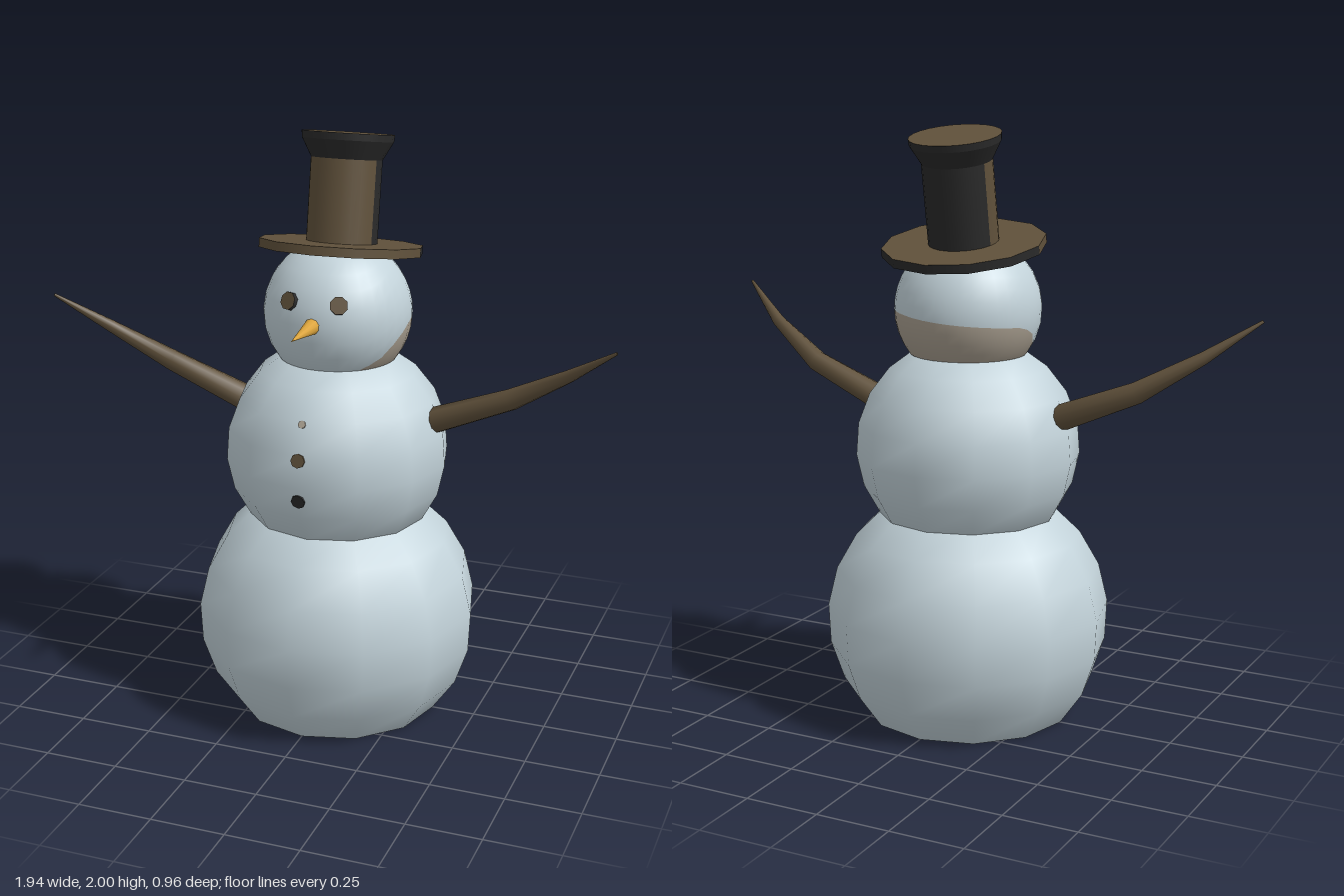
import * as THREE from 'three';

const flat = (name, color) => {
  const m = new THREE.MeshStandardMaterial({ color });
  m.name = name;
  return m;
};

export function createModel() {
  const snow = flat('snow', 0xc3d3da);
  const brown = flat('brown', 0x60513b);
  const black = flat('black', 0x2a2a2a);
  const tan = flat('dirty snow', 0xa99f90);
  const sand = flat('sand', 0xa89c7c);
  const carrot = flat('carrot', 0xdca43c);
  const model = new THREE.Group();
  const rad = THREE.MathUtils.degToRad;

  const add = (name, geometry, material, parent = model) => {
    const mesh = new THREE.Mesh(geometry, material);
    mesh.name = name;
    parent.add(mesh);
    return mesh;
  };

  // Band of a sphere between two heights, which may vary around the ball
  function band(cy, r, low, high, sides = 12, rows = 6) {
    const pos = [], nor = [], idx = [];
    for (let j = 0; j <= rows; j++) {
      for (let i = 0; i <= sides; i++) {
        const a = (i / sides) * Math.PI * 2;
        const t0 = Math.asin((low(a) - cy) / r), t1 = Math.asin((high(a) - cy) / r);
        const t = t0 + (t1 - t0) * (j / rows);
        const n = [Math.cos(t) * Math.sin(a), Math.sin(t), Math.cos(t) * Math.cos(a)];
        nor.push(...n);
        pos.push(n[0] * r, cy + n[1] * r, n[2] * r);
        if (i < sides && j < rows) {
          const p = j * (sides + 1) + i, q = p + sides + 1;
          idx.push(p, p + 1, q + 1, p, q + 1, q);
        }
      }
    }
    const g = new THREE.BufferGeometry();
    g.setAttribute('position', new THREE.Float32BufferAttribute(pos, 3));
    g.setAttribute('normal', new THREE.Float32BufferAttribute(nor, 3));
    g.setIndex(idx);
    return g;
  }

  // Body: each ball runs a little way into the one above
  add('lowerBody', band(0.33, 0.482, () => 0, () => 0.72), snow);
  add('upperBody', band(0.93, 0.378, () => 0.7, () => 1.265), snow);
  const base = add('baseUnderside', new THREE.CircleGeometry(0.351, 12), sand);
  base.rotation.x = Math.PI / 2;

  // Head, with a soiled area low on the back
  const edge = [[0, 1.25], [42, 1.25], [60, 1.29], [75, 1.35], [92, 1.39], [115, 1.4], [150, 1.395],
    [180, 1.385], [225, 1.37], [255, 1.36], [275, 1.32], [288, 1.25], [360, 1.25]];
  const dirtTop = (a) => {
    const d = Math.min(THREE.MathUtils.radToDeg(a), 359.99);
    const k = edge.findIndex(([e]) => e > d);
    const [a0, y0] = edge[k - 1], [a1, y1] = edge[k];
    return y0 + ((y1 - y0) * (d - a0)) / (a1 - a0);
  };
  add('head', band(1.4, 0.246, dirtTop, () => 1.63, 36, 8), snow);
  add('headSoiledArea', band(1.4, 0.246, () => 1.25, dirtTop, 36, 4), tan);

  // Small discs set on the surface of a ball, facing outwards
  function stud(name, x, y, cy, r, size, depth, material, sides = 8) {
    const dir = new THREE.Vector3(x, y - cy, Math.sqrt(r * r - x * x - (y - cy) ** 2)).normalize();
    const mesh = add(name, new THREE.CylinderGeometry(size, size, depth, sides), material);
    mesh.position.copy(dir).multiplyScalar(r).add(new THREE.Vector3(0, cy, 0));
    mesh.quaternion.setFromUnitVectors(new THREE.Vector3(0, 1, 0), dir);
  }
  const eyeMaterials = [black, brown, brown];
  stud('leftEye', 0.083, 1.48, 1.4, 0.245, 0.03, 0.024, eyeMaterials);
  stud('rightEye', -0.083, 1.48, 1.4, 0.245, 0.03, 0.024, eyeMaterials);
  stud('lowerButton', 0, 0.86, 0.93, 0.376, 0.024, 0.006, black);
  stud('middleButton', 0, 1.0, 0.93, 0.376, 0.024, 0.006, brown);
  stud('upperButton', 0, 1.11, 0.93, 0.376, 0.013, 0.006, tan);

  // Nose
  const nose = add('nose', new THREE.ConeGeometry(0.03, 0.2, 10), carrot);
  nose.rotation.x = Math.PI / 2;
  nose.position.set(0, 1.41, 0.318);

  // Arms: tapered tubes sweeping out, up and forward
  function arm(name, s) {
    const path = [[0.33, 1.055, 0, 0.048], [0.6, 1.165, 0.012, 0.036],
      [0.8, 1.285, 0.075, 0.021], [0.965, 1.403, 0.163, 0.005]];
    const pts = path.map(([x, y, z]) => new THREE.Vector3(s * x, y, z));
    const sides = 10, pos = [], idx = [];
    pts.forEach((p, j) => {
      const dir = pts[Math.min(j + 1, 3)].clone().sub(pts[Math.max(j - 1, 0)]).normalize();
      if (j === 0) dir.set(s, 0, 0);
      const u = new THREE.Vector3(0, 0, 1).cross(dir).normalize();
      const v = dir.clone().cross(u);
      for (let i = 0; i < sides; i++) {
        const a = (i / sides) * Math.PI * 2, r = path[j][3];
        const q = p.clone().addScaledVector(u, r * Math.cos(a)).addScaledVector(v, r * Math.sin(a));
        pos.push(q.x, q.y, q.z);
        const k = (i + 1) % sides, b = j * sides;
        if (j < 3) idx.push(b + i, b + k, b + sides + k, b + i, b + sides + k, b + sides + i);
      }
    });
    for (let i = 1; i < sides - 1; i++) {
      idx.push(0, i + 1, i, 3 * sides, 3 * sides + i, 3 * sides + i + 1);
    }
    const g = new THREE.BufferGeometry();
    g.setAttribute('position', new THREE.Float32BufferAttribute(pos, 3));
    g.setIndex(idx);
    g.computeVertexNormals();
    add(name, g, brown);
  }
  arm('leftArm', 1);
  arm('rightArm', -1);

  // Hat, tipped back; its walls are brown in front and black behind
  const hat = new THREE.Group();
  hat.name = 'hat';
  hat.position.set(0, 1.595, -0.028);
  hat.rotation.x = rad(-10);
  model.add(hat);
  function wall(name, rTop, rBottom, y0, y1, front, start, sides) {
    [[start, front, 'Front'], [start + 180, black, 'Back']].forEach(([from, mat, side]) => {
      const g = new THREE.CylinderGeometry(rTop, rBottom, y1 - y0, sides / 2, 1, true, rad(from), Math.PI);
      add(name + side, g.translate(0, (y0 + y1) / 2, 0), mat, hat);
    });
  }
  function disc(name, r, y, up, material, sides) {
    const mesh = add(name, new THREE.CircleGeometry(r, sides), material, hat);
    mesh.rotation.x = up ? -Math.PI / 2 : Math.PI / 2;
    mesh.position.y = y;
  }
  wall('brimEdge', 0.272, 0.272, 0, 0.03, brown, -90, 12);
  disc('brimTop', 0.272, 0.03, true, brown, 12);
  disc('brimUnderside', 0.272, 0, false, black, 12);
  wall('crown', 0.117, 0.117, 0.03, 0.3, brown, -105, 24);
  wall('crownFlare', 0.15, 0.117, 0.3, 0.36, black, -105, 24);
  wall('crownLip', 0.152, 0.15, 0.36, 0.383, black, -105, 24);
  disc('crownTop', 0.152, 0.383, true, brown, 24);

  return model;
}
